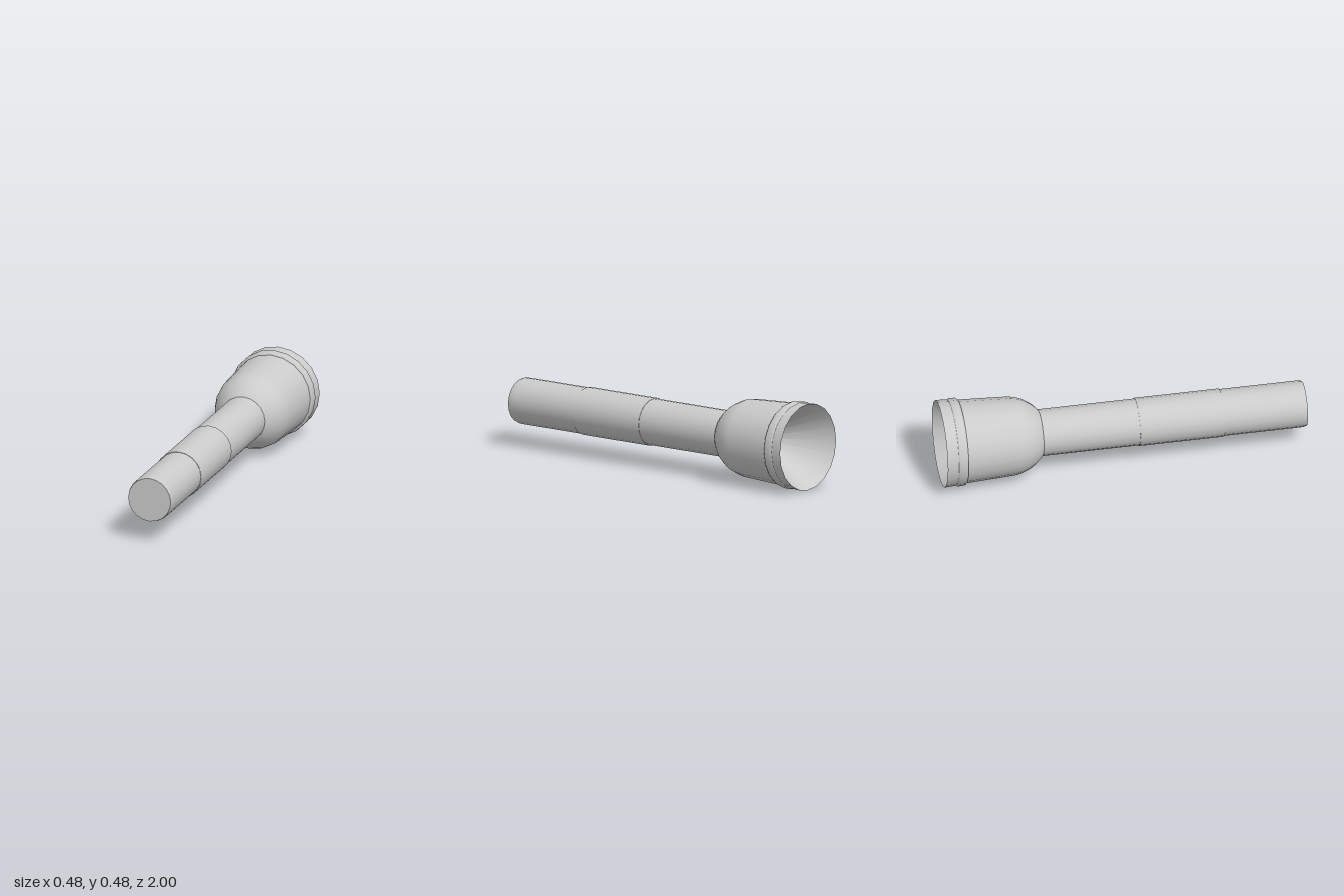
import * as THREE from 'three';

const SIDES = 20;
const AXIS_HEIGHT = 0.24;
const material = new THREE.MeshStandardMaterial({ color: 0xcccccc });

// Turned part along z from [z, radius] pairs; ascending z faces outward, descending faces inward
function turned(name, profile) {
  const points = profile.map(([z, r]) => new THREE.Vector2(r, z));
  const geometry = new THREE.LatheGeometry(points, SIDES);
  geometry.rotateX(Math.PI / 2);
  const mesh = new THREE.Mesh(geometry, material);
  mesh.name = name;
  mesh.position.y = AXIS_HEIGHT;
  return mesh;
}

export function createModel() {
  const model = new THREE.Group();
  model.name = 'flashlight';

  model.add(
    // Slim barrel with a slightly raised sleeve around its middle
    turned('barrel', [[-0.47, 0.127], [0.965, 0.127]]),
    turned('gripSleeve', [[0.08, 0.127], [0.08, 0.131], [0.545, 0.131], [0.545, 0.127]]),

    // Rounded tail end and its flat cap
    turned('tailEdge', [[0.965, 0.127], [0.985, 0.126], [1, 0.122]]),
    turned('tailCap', [[1, 0.122], [1, 0]]),

    // Domed shoulder widening into a gently flared head
    turned('head', [
      [-0.9, 0.228], [-0.75, 0.221], [-0.61, 0.214], [-0.57, 0.207],
      [-0.53, 0.192], [-0.49, 0.168], [-0.46, 0.141], [-0.445, 0.122],
    ]),

    // Bead around the head and the short bezel behind it
    turned('headRing', [
      [-0.938, 0.233], [-0.93, 0.24], [-0.895, 0.239], [-0.885, 0.235], [-0.883, 0.226],
    ]),
    turned('bezel', [[-1, 0.238], [-0.93, 0.234]]),

    // Hollow conical reflector
    turned('reflector', [[-0.6, 0], [-1, 0.238]]),
  );

  return model;
}
